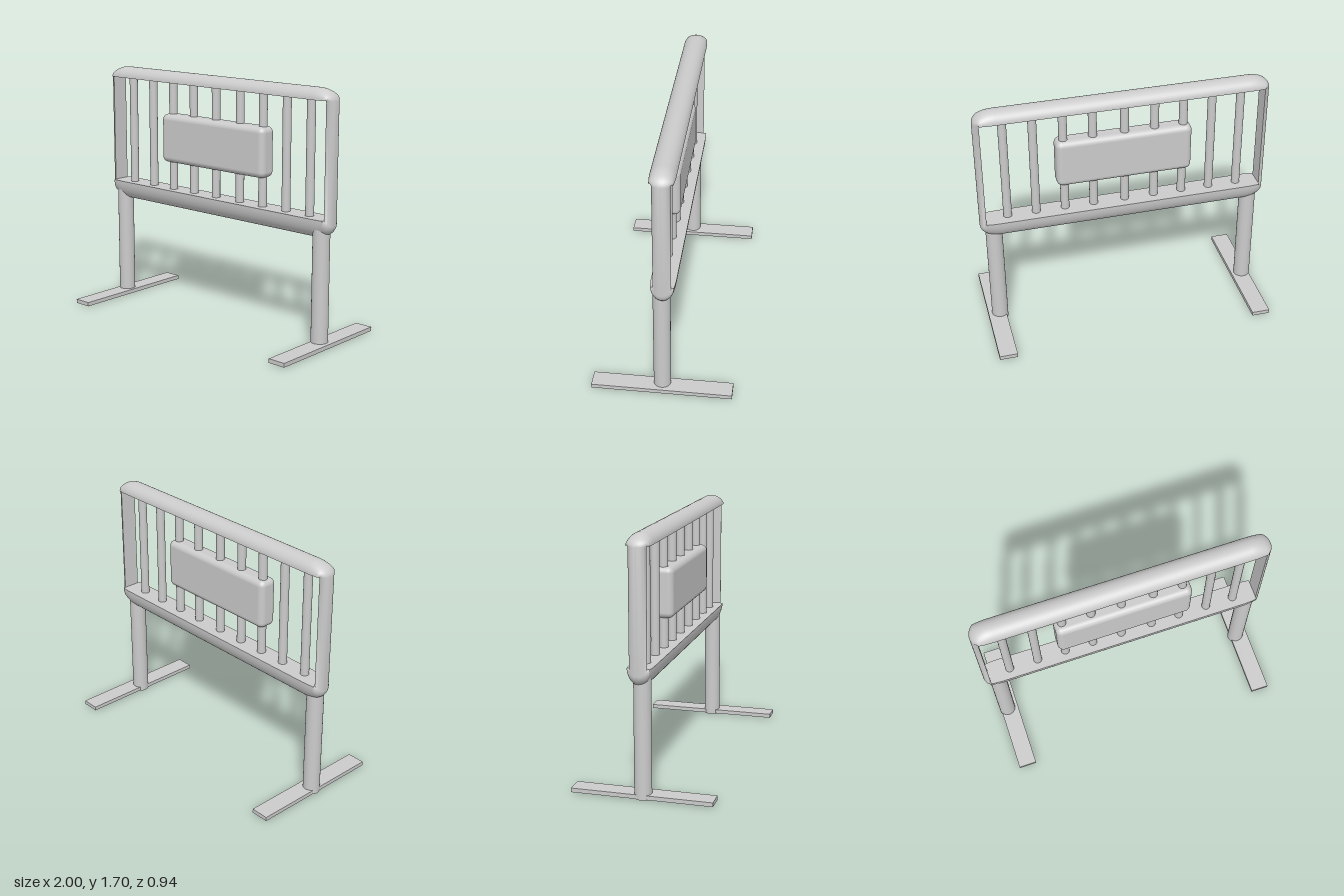
import * as THREE from 'three';
import { toCreasedNormals } from 'three/addons/utils/BufferGeometryUtils.js';
import { RoundedBoxGeometry } from 'three/addons/geometries/RoundedBoxGeometry.js';

const material = new THREE.MeshStandardMaterial({ color: 0xcccccc });

function add(group, name, geometry, x, y, z) {
  const mesh = new THREE.Mesh(geometry, material);
  mesh.name = name;
  mesh.position.set(x, y, z);
  group.add(mesh);
  return mesh;
}

// Closed rim: flat on the inside, half-elliptical on the outside.
// Each station joins a point on the rounded outline to the nearest point of the opening.
function frameGeometry() {
  const open = { x: 0.96, bottom: 0.86, top: 1.622 };
  const railHalf = 0.081, postHalf = 0.058;
  const corners = [
    { x: 0.86, y: 1.61, ry: 0.085, start: 0 },
    { x: -0.86, y: 1.61, ry: 0.085, start: 1 },
    { x: -0.86, y: 0.82, ry: 0.09, start: 2 },
    { x: 0.86, y: 0.82, ry: 0.09, start: 3 },
  ];
  const steps = 14, sides = 20, positions = [], indices = [];
  for (const c of corners) {
    for (let k = 0; k <= steps; k++) {
      const a = (c.start + k / steps) * Math.PI / 2;
      const ox = c.x + 0.14 * Math.cos(a);
      const oy = c.y + c.ry * Math.sin(a);
      const ix = THREE.MathUtils.clamp(ox, -open.x, open.x);
      const iy = THREE.MathUtils.clamp(oy, open.bottom, open.top);
      const half = THREE.MathUtils.lerp(postHalf, railHalf, Math.abs(Math.sin(a)));
      for (let j = 0; j <= sides; j++) {
        const t = Math.PI * j / sides, s = Math.sin(t);
        positions.push(ix + (ox - ix) * s, iy + (oy - iy) * s, half * Math.cos(t));
      }
    }
  }
  const row = sides + 1, count = corners.length * (steps + 1);
  for (let i = 0; i < count; i++) {
    for (let j = 0; j < row; j++) {
      const n = (i + 1) % count, m = (j + 1) % row;
      const a = i * row + j, b = i * row + m, c = n * row + m, d = n * row + j;
      indices.push(a, b, d, b, c, d);
    }
  }
  const geometry = new THREE.BufferGeometry();
  geometry.setAttribute('position', new THREE.Float32BufferAttribute(positions, 3));
  geometry.setIndex(indices);
  return toCreasedNormals(geometry, 0.8);
}

export function createModel() {
  const model = new THREE.Group();
  model.name = 'barrier';

  add(model, 'frame', frameGeometry(), 0, 0, -0.008);

  // Upright bars, running into both rails
  const bar = new THREE.CylinderGeometry(0.029, 0.029, 0.82, 24);
  const barX = [-0.81, -0.61, -0.412, -0.214, -0.008, 0.21, 0.41, 0.61, 0.806];
  barX.forEach((x, i) => add(model, `bar${i + 1}`, bar, x, 1.24, -0.002));

  // Sign panel around the middle bars
  add(model, 'panel', new RoundedBoxGeometry(0.93, 0.34, 0.132, 6, 0.04), 0, 1.229, 0.005);

  // Legs and flat feet
  const leg = new THREE.CylinderGeometry(0.057, 0.057, 0.8, 32);
  const foot = new THREE.BoxGeometry(0.125, 0.028, 0.935);
  add(model, 'rightLeg', leg, -0.907, 0.4, 0.002);
  add(model, 'leftLeg', leg, 0.907, 0.4, 0.002);
  add(model, 'rightFoot', foot, -0.892, 0.017, 0);
  add(model, 'leftFoot', foot, 0.928, 0.017, 0);

  return model;
}
